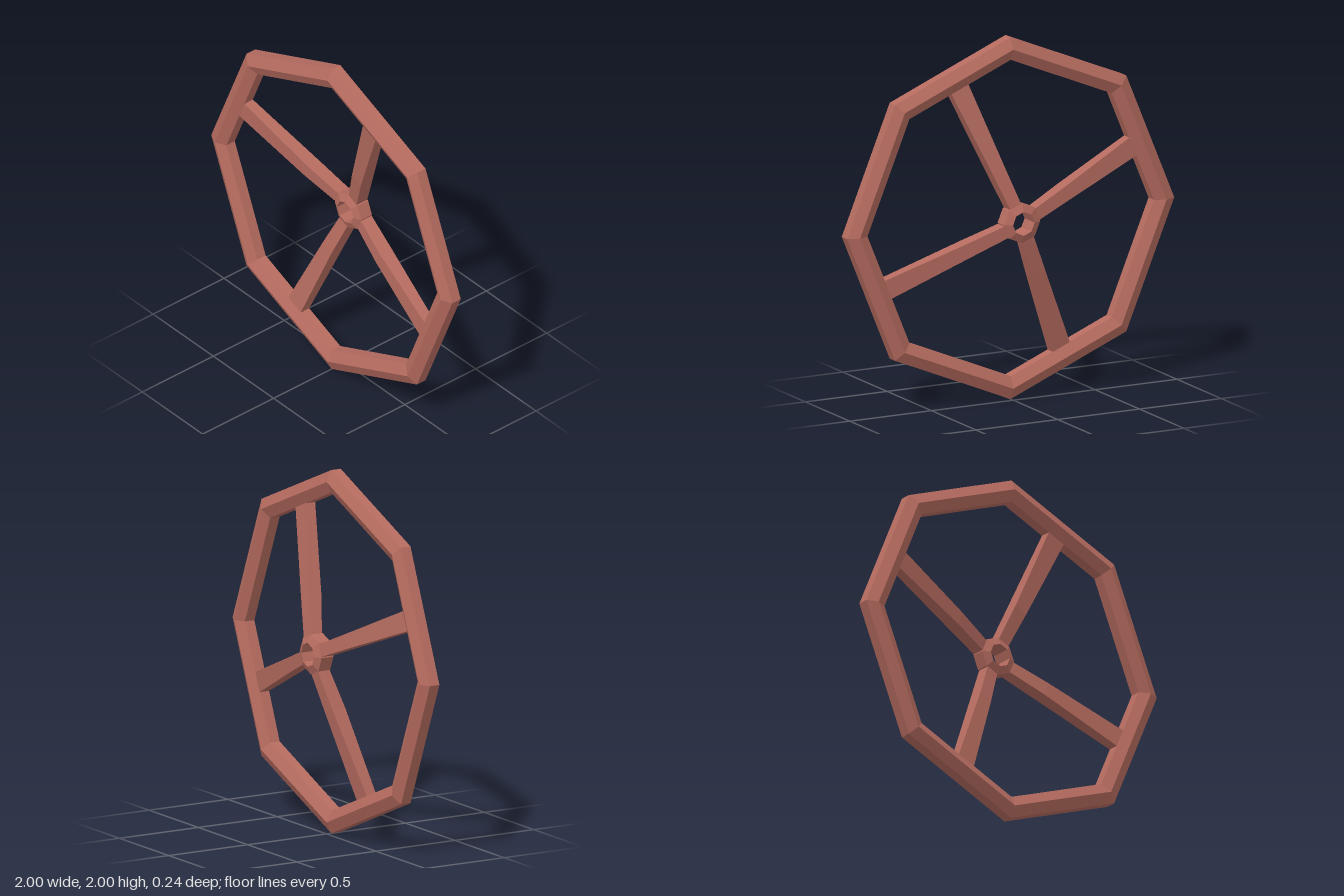
import * as THREE from 'three';

const paint = new THREE.MeshStandardMaterial({ color: 0xb56b5f, flatShading: true });
paint.name = 'red clay paint';

// Eight-sided ring around the z axis; profile points are [radius, z]
function ring(name, profile) {
  const points = [...profile, profile[0]].map(([r, z]) => new THREE.Vector2(r, z));
  const geometry = new THREE.LatheGeometry(points, 8).rotateX(Math.PI / 2);
  const mesh = new THREE.Mesh(geometry, paint);
  mesh.name = name;
  return mesh;
}

// Spoke along +x, skinned over rectangular sections: [distance, half width, back z, front z]
function spokeGeometry(sections) {
  const positions = [];
  const index = [];
  sections.forEach(([x, h, back, front], i) => {
    positions.push(x, -h, back, x, h, back, x, h, front, x, -h, front);
    if (i === 0) return;
    for (let j = 0; j < 4; j++) {
      const a = (i - 1) * 4 + j;
      const b = (i - 1) * 4 + (j + 1) % 4;
      index.push(a, b, b + 4, a, b + 4, a + 4);
    }
  });
  const geometry = new THREE.BufferGeometry();
  geometry.setAttribute('position', new THREE.Float32BufferAttribute(positions, 3));
  geometry.setIndex(index);
  geometry.computeVertexNormals();
  return geometry;
}

export function createModel() {
  const wheel = new THREE.Group();
  wheel.name = 'wheel';

  // Rim with a six-sided section
  wheel.add(ring('rim', [
    [1, 0.03], [1, 0.09], [0.937, 0.12], [0.875, 0.09], [0.875, 0.03], [0.937, 0],
  ]));

  // Hub, set behind the rim, with bevelled ends
  wheel.add(ring('hub', [
    [0.11, -0.1], [0.11, -0.025], [0.066, -0.005], [0.066, -0.12],
  ]));

  // Four dished spokes meeting the middles of the rim sides
  const geometry = spokeGeometry([
    [0.1, 0.035, -0.1, -0.025],
    [0.32, 0.04, -0.062, 0.02],
    [0.812, 0.056, 0.03, 0.09],
  ]);
  for (let i = 0; i < 4; i++) {
    const spoke = new THREE.Mesh(geometry, paint);
    spoke.name = `spoke${i + 1}`;
    spoke.rotation.z = Math.PI * (3 / 8 + i / 2);
    wheel.add(spoke);
  }

  wheel.position.y = 1;
  const model = new THREE.Group();
  model.name = 'spokedWheel';
  model.add(wheel);
  return model;
}
